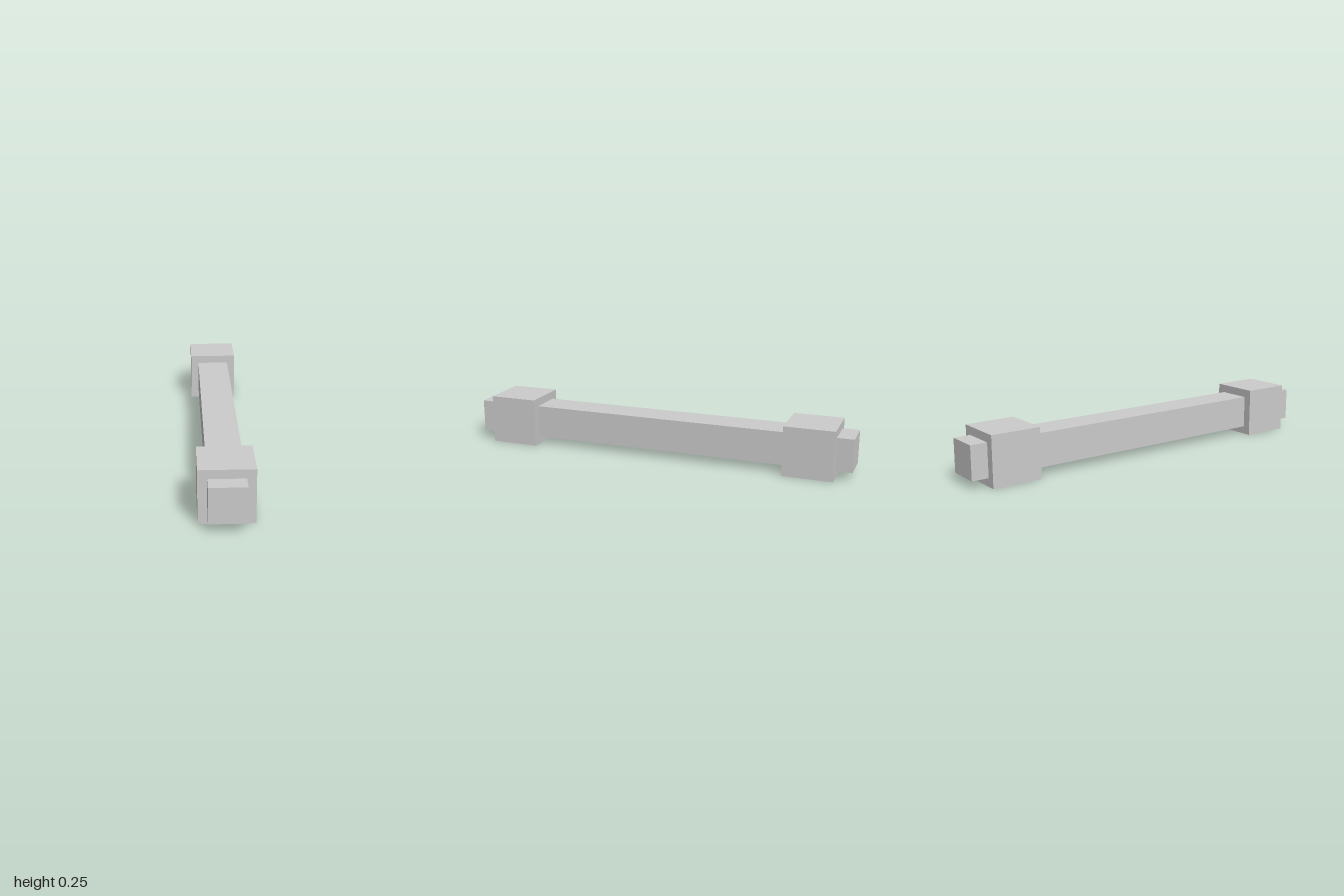
import * as THREE from 'three';

const U = 1 / 12; // modelling unit: the bar is 24 units long

export function createModel() {
  const group = new THREE.Group();
  group.name = 'barWithCollars';
  const material = new THREE.MeshStandardMaterial({ color: 0xcccccc, flatShading: true });

  const addBox = (name, width, height, depth, z) => {
    const mesh = new THREE.Mesh(new THREE.BoxGeometry(width * U, height * U, depth * U), material);
    mesh.name = name;
    mesh.position.set(0, 1.5 * U, z * U);
    group.add(mesh);
  };

  // Square bar running the full length
  addBox('bar', 2, 2, 24, 0);

  // Cubic collar near each end
  addBox('frontCollar', 3, 3, 3, 9.5);
  addBox('backCollar', 3, 3, 3, -9.5);

  return group;
}
